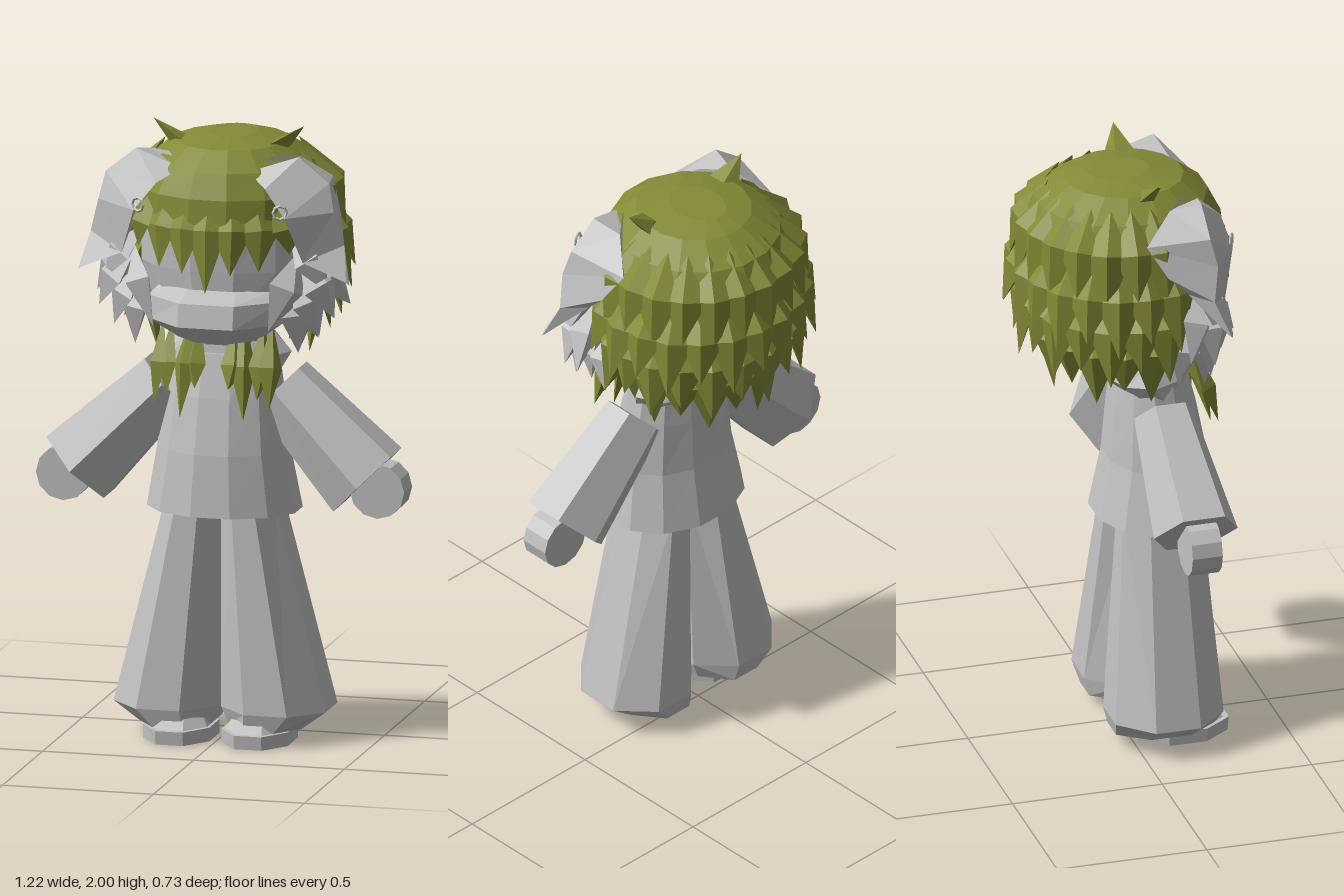
import * as THREE from 'three';
import { mergeGeometries } from 'three/addons/utils/BufferGeometryUtils.js';

const V = (x, y, z) => new THREE.Vector3(x, y, z);

function fromTriangles(points) {
  const g = new THREE.BufferGeometry().setFromPoints(points);
  g.computeVertexNormals();
  return g;
}

// One horizontal ring, starting at the front and turning towards +x
function oval(n, off, y, cx, cz, rx, rz) {
  const k = off ? 1 / Math.cos(Math.PI / n) : 1;
  return Array.from({ length: n }, (_, i) => {
    const a = ((i + off) / n) * Math.PI * 2;
    return V(cx + Math.sin(a) * rx * k, y, cz + Math.cos(a) * rz * k);
  });
}

// Closed faceted skin over rings listed from bottom to top
function skin(rings) {
  const t = [], n = rings[0].length;
  for (let i = 0; i < rings.length - 1; i++) {
    for (let j = 0; j < n; j++) {
      const k = (j + 1) % n, lo = rings[i], hi = rings[i + 1];
      t.push(lo[j], lo[k], hi[k], lo[j], hi[k], hi[j]);
    }
  }
  const bottom = rings[0], top = rings[rings.length - 1];
  for (let j = 1; j < n - 1; j++) {
    t.push(bottom[0], bottom[j + 1], bottom[j], top[0], top[j], top[j + 1]);
  }
  return fromTriangles(t);
}

const loft = (n, off, rows) => skin(rows.map(r => oval(n, off, ...r)));

// Pointed tuft: root, four corners round the middle, tip
function lock(root, mid, tip, width, thick) {
  const dir = tip.clone().sub(root).normalize();
  let out = V(mid.x, 0, mid.z).normalize();
  const side = new THREE.Vector3().crossVectors(out, dir).normalize();
  out = new THREE.Vector3().crossVectors(dir, side).normalize();
  const belt = [[side, width / 2], [out, thick], [side, -width / 2], [out, -thick]]
    .map(([d, s]) => mid.clone().addScaledVector(d, s));
  const centre = root.clone().add(tip).add(mid).divideScalar(3);
  const t = [];
  for (const end of [root, tip]) {
    for (let i = 0; i < 4; i++) {
      const a = belt[i], b = belt[(i + 1) % 4];
      const nrm = b.clone().sub(a).cross(end.clone().sub(a));
      const flip = nrm.dot(a.clone().add(b).add(end).divideScalar(3).sub(centre)) < 0;
      t.push(...(flip ? [b, a, end] : [a, b, end]));
    }
  }
  return fromTriangles(t);
}

// Copy reflected in x, with corner order restored
function mirrored(geo) {
  const p = geo.attributes.position, t = [];
  for (let i = 0; i < p.count; i += 3) {
    for (const j of [0, 2, 1]) t.push(V(-p.getX(i + j), p.getY(i + j), p.getZ(i + j)));
  }
  return fromTriangles(t);
}

export function createModel() {
  const model = new THREE.Group();
  model.name = 'chibiFigure';
  const grey = new THREE.MeshStandardMaterial({ color: 0xc2c2c2 });
  grey.name = 'pale grey';
  const olive = new THREE.MeshStandardMaterial({ color: 0x858a36 });
  olive.name = 'olive hair';

  function add(name, geo, mat) {
    const m = new THREE.Mesh(geo, mat);
    m.name = name;
    model.add(m);
  }
  function pair(name, geo, mat) {
    add('left' + name, geo, mat);
    add('right' + name, mirrored(geo), mat);
  }

  // Shoes: flat sole and low upper
  pair('Sole', loft(8, 0.5, [[0, 0.13, 0.165, 0.11, 0.15], [0.045, 0.13, 0.165, 0.11, 0.155]]), grey);
  pair('ShoeUpper', loft(8, 0.5, [[0.045, 0.13, 0.16, 0.1, 0.14], [0.07, 0.13, 0.15, 0.085, 0.12],
    [0.12, 0.13, 0.12, 0.065, 0.08]]), grey);

  // Wide trousers, tucked in at the hem
  pair('TrouserLeg', loft(8, 0.5, [[0.045, 0.15, 0.1, 0.12, 0.165], [0.105, 0.178, 0.1, 0.173, 0.18],
    [0.78, 0.092, 0.11, 0.09, 0.13]]), grey);

  // Shirt, collar and neck
  add('shirt', loft(12, 0.5, [[0.75, 0, 0.11, 0.245, 0.19], [0.95, 0, 0.12, 0.21, 0.16],
    [1.13, 0, 0.11, 0.19, 0.135], [1.27, 0, 0.1, 0.17, 0.11]]), grey);
  add('collar', loft(10, 0.5, [[1.2, 0, 0.1, 0.17, 0.105], [1.26, 0, 0.065, 0.2, 0.135],
    [1.33, 0, 0.07, 0.14, 0.12]]), grey);

  // Sleeves and round hands
  const sleeve = loft(6, 0, [[0, 0, 0.12, 0.155, 0.14], [0.41, 0, 0.1, 0.115, 0.1]]);
  sleeve.rotateZ(Math.PI / 4).translate(0.475, 0.865, 0);
  pair('Sleeve', sleeve, grey);
  const hand = new THREE.CylinderGeometry(0.09, 0.09, 0.1, 12).toNonIndexed();
  hand.rotateX(Math.PI / 2).translate(0.52, 0.84, 0.12);
  hand.computeVertexNormals();
  pair('Hand', hand, grey);

  // Head and jutting muzzle
  add('head', loft(12, 0.5, [[1.3, 0, 0.09, 0.12, 0.12], [1.4, 0, 0.09, 0.22, 0.17],
    [1.55, 0, 0.08, 0.27, 0.19], [1.75, 0, 0.08, 0.27, 0.2]]), grey);
  add('muzzle', loft(8, 0.5, [[1.32, 0, 0.15, 0.13, 0.13], [1.385, 0, 0.16, 0.22, 0.2],
    [1.46, 0, 0.16, 0.22, 0.185], [1.49, 0, 0.15, 0.19, 0.12]]), grey);

  // Floppy ears: front, outer, back and inner corner per section
  const ear = skin([
    [[0.44, 1.54, 0.255], [0.45, 1.53, 0.25], [0.445, 1.54, 0.24], [0.43, 1.55, 0.25]],
    [[0.3, 1.6, 0.27], [0.42, 1.65, 0.2], [0.36, 1.66, 0.13], [0.3, 1.62, 0.2]],
    [[0.25, 1.75, 0.31], [0.39, 1.76, 0.22], [0.37, 1.73, 0.06], [0.27, 1.75, 0.12]],
    [[0.18, 1.84, 0.29], [0.37, 1.85, 0.2], [0.33, 1.83, 0], [0.2, 1.84, 0.1]],
    [[0.11, 1.88, 0.23], [0.27, 1.93, 0.2], [0.25, 1.91, 0.1], [0.17, 1.92, 0.17]],
  ].map(r => r.map(p => V(...p))));
  pair('Ear', ear, grey);
  const ring = new THREE.TorusGeometry(0.022, 0.005, 4, 8).toNonIndexed();
  ring.rotateY(0.4).translate(0.235, 1.77, 0.31);
  ring.computeVertexNormals();
  pair('EarRing', ring, grey);

  // Cheek fur: root and tip of each tuft
  const cheeks = [
    [[0.24, 1.68, 0.2], [0.37, 1.5, 0.23]], [[0.27, 1.62, 0.18], [0.42, 1.44, 0.12]],
    [[0.27, 1.6, 0.2], [0.39, 1.41, 0.21]], [[0.25, 1.55, 0.2], [0.34, 1.35, 0.21]],
    [[0.24, 1.52, 0.2], [0.27, 1.29, 0.21]], [[0.24, 1.5, 0.15], [0.31, 1.32, 0.11]],
    [[0.27, 1.62, 0.22], [0.19, 1.37, 0.29]],
  ].map(([r, t]) => {
    const root = V(...r), tip = V(...t);
    return lock(root, root.clone().lerp(tip, 0.45).multiply(V(1.06, 1, 1.05)), tip, 0.14, 0.045);
  });
  pair('CheekFur', mergeGeometries(cheeks), grey);

  // Hair cap and the mass behind the head
  add('hairCap', loft(16, 0.5, [[1.68, 0, 0.015, 0.31, 0.325], [1.8, 0, 0.01, 0.315, 0.315],
    [1.88, 0, 0.01, 0.265, 0.275], [1.94, 0, 0.02, 0.18, 0.19], [1.96, 0, 0, 0.08, 0.1]]), olive);
  add('backHair', loft(12, 0.5, [[1.34, 0, -0.02, 0.17, 0.13], [1.45, 0, -0.05, 0.25, 0.18],
    [1.7, 0, -0.06, 0.31, 0.23]]), olive);

  // Rows of tufts round the back: count, half arc, then [y, radius] of root, middle, tip
  const rows = [
    [13, 1.75, [1.92, 0.22], [1.8, 0.305], [1.62, 0.345]],
    [14, 1.85, [1.75, 0.28], [1.65, 0.325], [1.48, 0.37]],
    [13, 1.8, [1.6, 0.27], [1.53, 0.305], [1.36, 0.33]],
    [10, 1.75, [1.48, 0.22], [1.42, 0.25], [1.25, 0.23]],
  ];
  rows.forEach(([n, arc, ...ends], row) => {
    const tufts = [];
    for (let i = 0; i < n; i++) {
      const a = (i / (n - 1) * 2 - 1) * arc;
      const [root, mid, tip] = ends.map(([y, r]) => V(Math.sin(a) * r * 1.06, y, -Math.cos(a) * r));
      tip.y += (i % 2 ? 0.035 : -0.015);
      tufts.push(lock(root, mid, tip, 0.15, 0.04));
    }
    add('backTufts' + (row + 1), mergeGeometries(tufts), olive);
  });

  // Fringe
  const fringe = [];
  for (const [x, y] of [[0, 1.5], [0.08, 1.56], [0.165, 1.57], [0.25, 1.62]]) {
    for (const s of x ? [1, -1] : [1]) {
      fringe.push(lock(V(s * x * 0.7, 1.87, 0.26 - x * x), V(s * x, 1.7, 0.335 - x * x * 1.5),
        V(s * x, y, 0.36 - x * x * 1.8), 0.13, 0.025));
    }
  }
  add('fringe', mergeGeometries(fringe), olive);

  // Strands over the chest
  const strands = [[0.06, 0.055, 1.17], [0.09, 0.105, 1.07], [0.15, 0.15, 1.14], [0.18, 0.19, 1.11]]
    .map(([x, tx, ty]) => lock(V(x, 1.38, 0.19), V(x + 0.005, 1.24, 0.245), V(tx, ty, 0.28), 0.085, 0.03));
  pair('ChestStrands', mergeGeometries(strands), olive);

  // Two small points on the crown
  pair('CrownPoint', lock(V(0.11, 1.92, 0.05), V(0.165, 1.925, 0.05), V(0.25, 2, 0.06), 0.11, 0.03), olive);

  return model;
}
